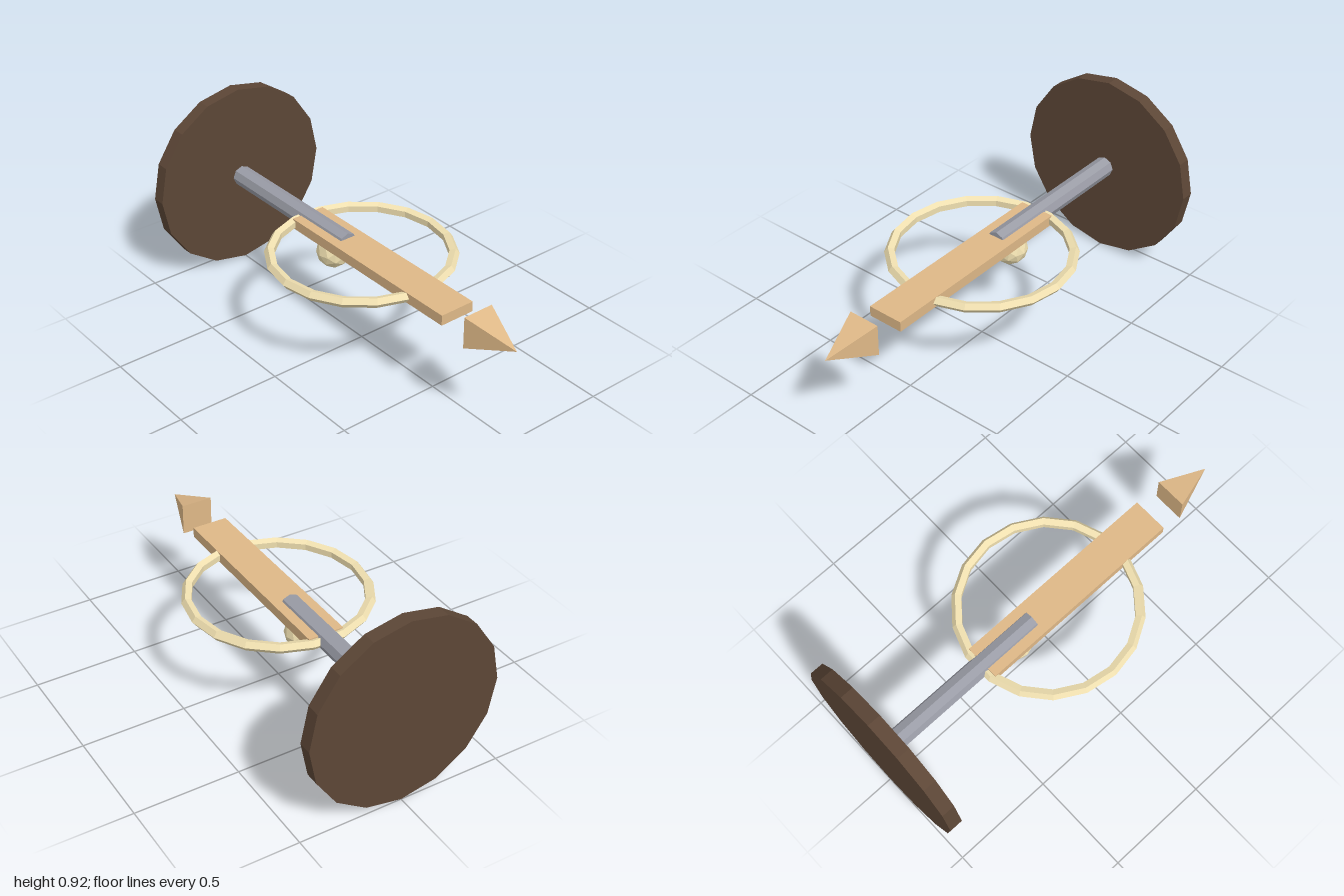
import * as THREE from 'three';

const CENTRE_Y = 0.463;

const flat = (color) => new THREE.MeshStandardMaterial({ color, flatShading: true });

export function createModel() {
  const group = new THREE.Group();
  const darkWood = flat(0x5c4636);
  const lightWood = flat(0xdeb887);
  const metal = flat(0x9a9ca6);
  const ivory = flat(0xf0e0b0);

  const add = (name, geometry, material, z, y = CENTRE_Y) => {
    const mesh = new THREE.Mesh(geometry, material);
    mesh.name = name;
    mesh.position.set(0, y, z);
    group.add(mesh);
    return mesh;
  };

  // Upright disc at the back
  add('backDisc', new THREE.CylinderGeometry(0.461, 0.461, 0.065, 16).rotateX(Math.PI / 2), darkWood, -0.9675);

  // Octagonal rod from the disc into the plank
  add('rod', new THREE.CylinderGeometry(0.05, 0.05, 0.86, 8).rotateX(Math.PI / 2), metal, -0.53);

  // Flat plank running forward
  add('plank', new THREE.BoxGeometry(0.174, 0.05, 1.04), lightWood, 0.12);

  // Horizontal ring with a five-sided tube
  add('ring', new THREE.TorusGeometry(0.415, 0.0255, 5, 18).rotateX(Math.PI / 2), ivory, 0);

  // Faceted ball below the plank
  add('ball', new THREE.IcosahedronGeometry(0.082, 1), ivory, -0.205, 0.377);

  // Four-sided point floating ahead of the plank
  const point = new THREE.ConeGeometry(0.077 * Math.SQRT2, 0.235, 4).rotateY(Math.PI / 4).rotateX(Math.PI / 2);
  add('point', point, lightWood, 0.8825);

  return group;
}
